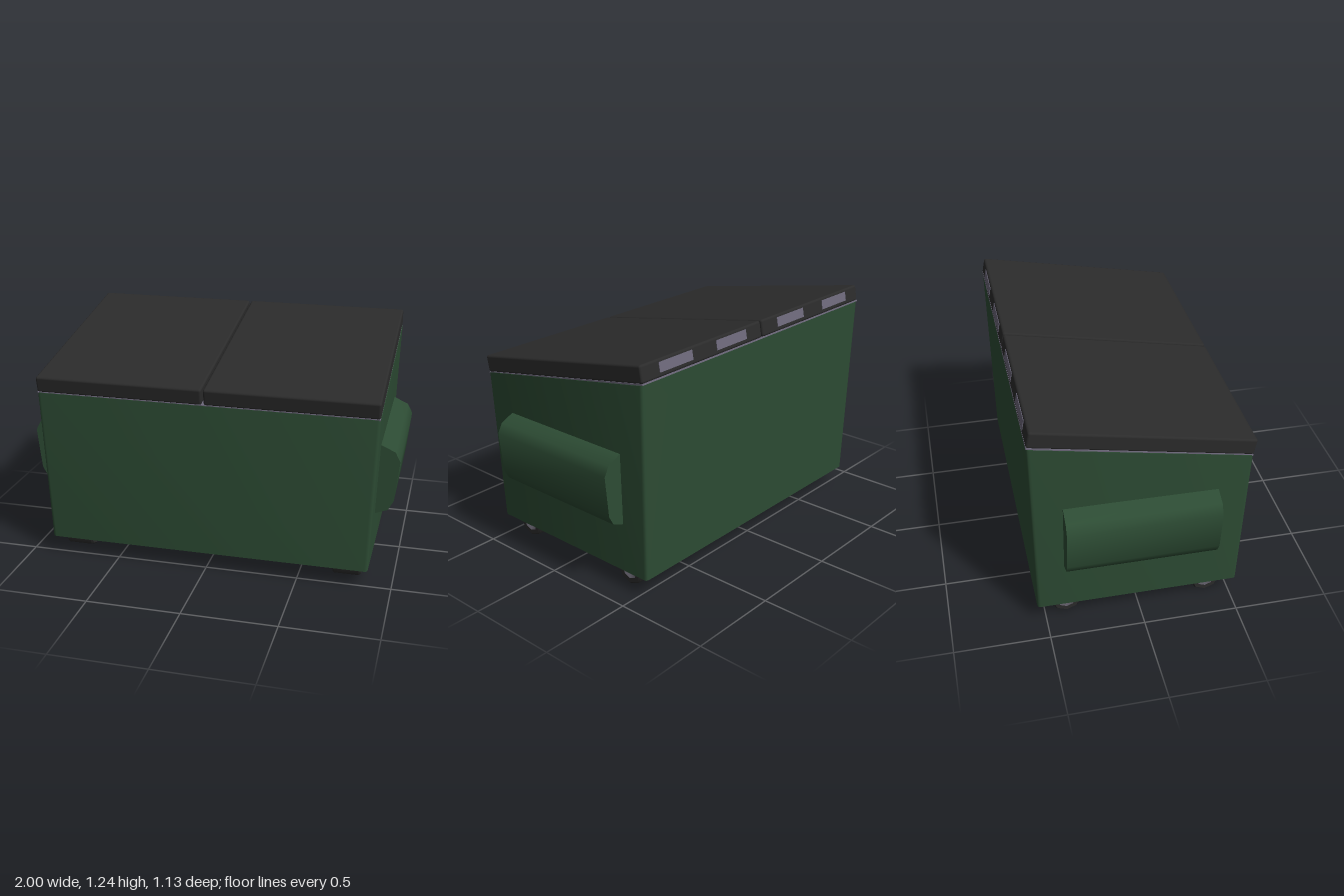
import * as THREE from 'three';
import { toCreasedNormals } from 'three/addons/utils/BufferGeometryUtils.js';
import { RoundedBoxGeometry } from 'three/addons/geometries/RoundedBoxGeometry.js';

const material = (name, color) => {
  const m = new THREE.MeshStandardMaterial({ color });
  m.name = name;
  return m;
};

export function createModel() {
  const green = material('green paint', 0x2d4c34);
  const black = material('black plastic', 0x2b2b2b);
  const metal = material('grey metal', 0x6c687a);
  const darkMetal = material('dark hub metal', 0x55525c);

  const model = new THREE.Group();
  model.name = 'wasteContainer';
  const add = (parent, name, geometry, mat, x = 0, y = 0, z = 0) => {
    const mesh = new THREE.Mesh(geometry, mat);
    mesh.name = name;
    mesh.position.set(x, y, z);
    parent.add(mesh);
    return mesh;
  };

  // Tapered bin: a rounded rectangle extruded up, flared and cut to a sloping top
  const w = 0.875, front = 0.53, back = -0.545, r = 0.018;
  const outline = new THREE.Shape();
  outline.moveTo(-w + r, -front);
  outline.lineTo(w - r, -front);
  outline.quadraticCurveTo(w, -front, w, -front + r);
  outline.lineTo(w, -back - r);
  outline.quadraticCurveTo(w, -back, w - r, -back);
  outline.lineTo(-w + r, -back);
  outline.quadraticCurveTo(-w, -back, -w, -back - r);
  outline.lineTo(-w, -front + r);
  outline.quadraticCurveTo(-w, -front, -w + r, -front);
  const bin = new THREE.ExtrudeGeometry(outline, { depth: 1, bevelEnabled: false, curveSegments: 3 });
  bin.rotateX(-Math.PI / 2);
  const p = bin.attributes.position;
  for (let i = 0; i < p.count; i++) {
    const top = p.getY(i) > 0.5;
    const z = p.getZ(i) * (top ? 1.034 : 1);
    p.setXYZ(i, p.getX(i) * (top ? 1.034 : 1), top ? 0.945 + (0.548 - z) * 0.184 : 0.1, z);
  }
  add(model, 'bin', toCreasedNormals(bin, 0.6), green);

  // Sloping top: metal rim, two lids and their hinge plates
  const topGroup = new THREE.Group();
  topGroup.name = 'slopingTop';
  topGroup.position.set(0, 1.096, 0);
  topGroup.rotation.x = 0.186;
  model.add(topGroup);
  add(topGroup, 'rim', new THREE.BoxGeometry(1.804, 0.008, 1.13), metal, 0, -0.047, 0);
  for (const s of [-1, 1]) {
    add(topGroup, s > 0 ? 'leftLid' : 'rightLid',
      new RoundedBoxGeometry(0.899, 0.089, 1.134, 2, 0.012), black, s * 0.4545, 0, 0);
    for (const x of [0.25, 0.665]) {
      add(topGroup, 'hingePlate', new THREE.BoxGeometry(0.235, 0.05, 0.006), metal, s * x, 0.004, -0.567);
    }
  }

  // Fork pockets on both sides
  const profile = [[0.86, 0.37], [0.89, 0.375], [0.95, 0.398], [0.978, 0.45],
    [1, 0.67], [0.973, 0.722], [0.89, 0.76], [0.86, 0.765]];
  for (const s of [-1, 1]) {
    const points = profile.map(([x, y]) => new THREE.Vector2(s * x, y));
    const pocket = new THREE.ExtrudeGeometry(new THREE.Shape(points), { depth: 0.785, bevelEnabled: false });
    add(model, s > 0 ? 'leftForkPocket' : 'rightForkPocket', toCreasedNormals(pocket, 0.9), green, 0, 0, -0.4);
  }

  // Eight-sided wheels with dished hubs on both faces
  const lathe = (points, sides) => {
    const g = new THREE.LatheGeometry(points.map(([a, b]) => new THREE.Vector2(a, b)), sides);
    g.rotateZ(-Math.PI / 2);
    return toCreasedNormals(g, 0.85);
  };
  const tyre = lathe([[0.048, -0.075], [0.072, -0.075], [0.08, -0.066],
    [0.08, 0.066], [0.072, 0.075], [0.048, 0.075]], 8);
  const hub = lathe([[0.025, 0.05], [0.05, 0.075]].reverse(), 8);
  const cap = new THREE.CircleGeometry(0.027, 8).rotateY(Math.PI / 2).translate(0.051, 0, 0);
  darkMetal.side = THREE.DoubleSide;
  for (const x of [-0.755, 0.755]) {
    for (const z of [0.375, -0.385]) {
      const wheel = new THREE.Group();
      wheel.name = 'wheel';
      wheel.position.set(x, 0.08, z);
      model.add(wheel);
      add(wheel, 'tyre', tyre, black);
      for (const turn of [0, Math.PI]) {
        add(wheel, 'hub', hub, darkMetal).rotation.y = turn;
        add(wheel, 'hubCap', cap, metal).rotation.y = turn;
      }
    }
  }
  return model;
}
